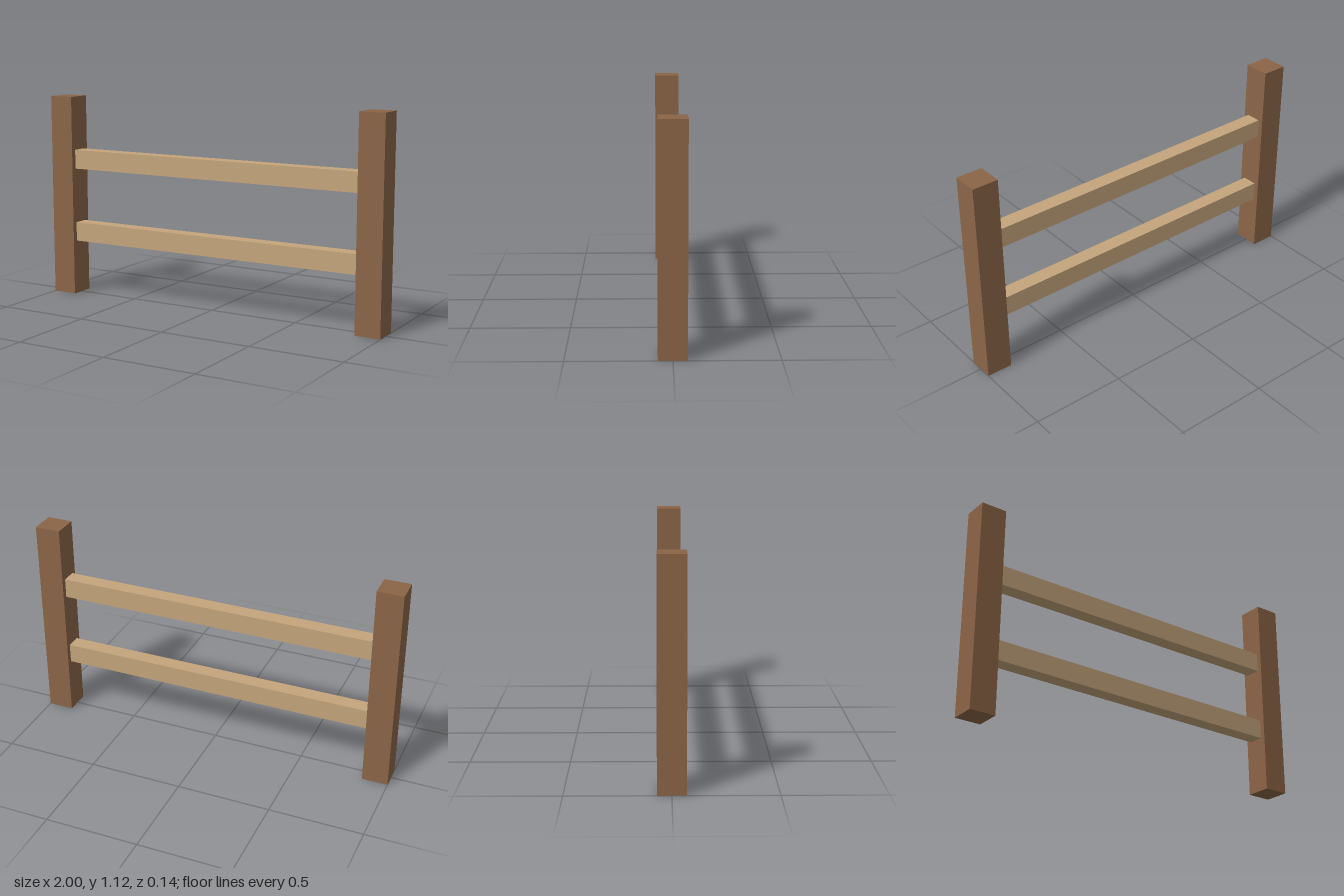
import * as THREE from 'three';

export function createModel() {
  const postWood = new THREE.MeshStandardMaterial({ color: 0x8b6547 });
  postWood.name = 'dark post wood';
  const railWood = new THREE.MeshStandardMaterial({ color: 0xc4a57b });
  railWood.name = 'light rail wood';

  const fence = new THREE.Group();
  fence.name = 'fence';

  const addBeam = (name, size, x, y, material) => {
    const beam = new THREE.Mesh(new THREE.BoxGeometry(...size), material);
    beam.name = name;
    beam.position.set(x, y, 0);
    fence.add(beam);
  };

  // Square end posts
  const postWidth = 0.138, postHeight = 1.116;
  for (const [name, side] of [['leftPost', 1], ['rightPost', -1]]) {
    addBeam(name, [postWidth, postHeight, postWidth], side * (1 - postWidth / 2), postHeight / 2, postWood);
  }

  // Horizontal rails, let into the posts
  for (const [name, y] of [['lowerRail', 0.355], ['upperRail', 0.766]]) {
    addBeam(name, [1.76, 0.106, 0.082], 0, y, railWood);
  }

  return fence;
}
